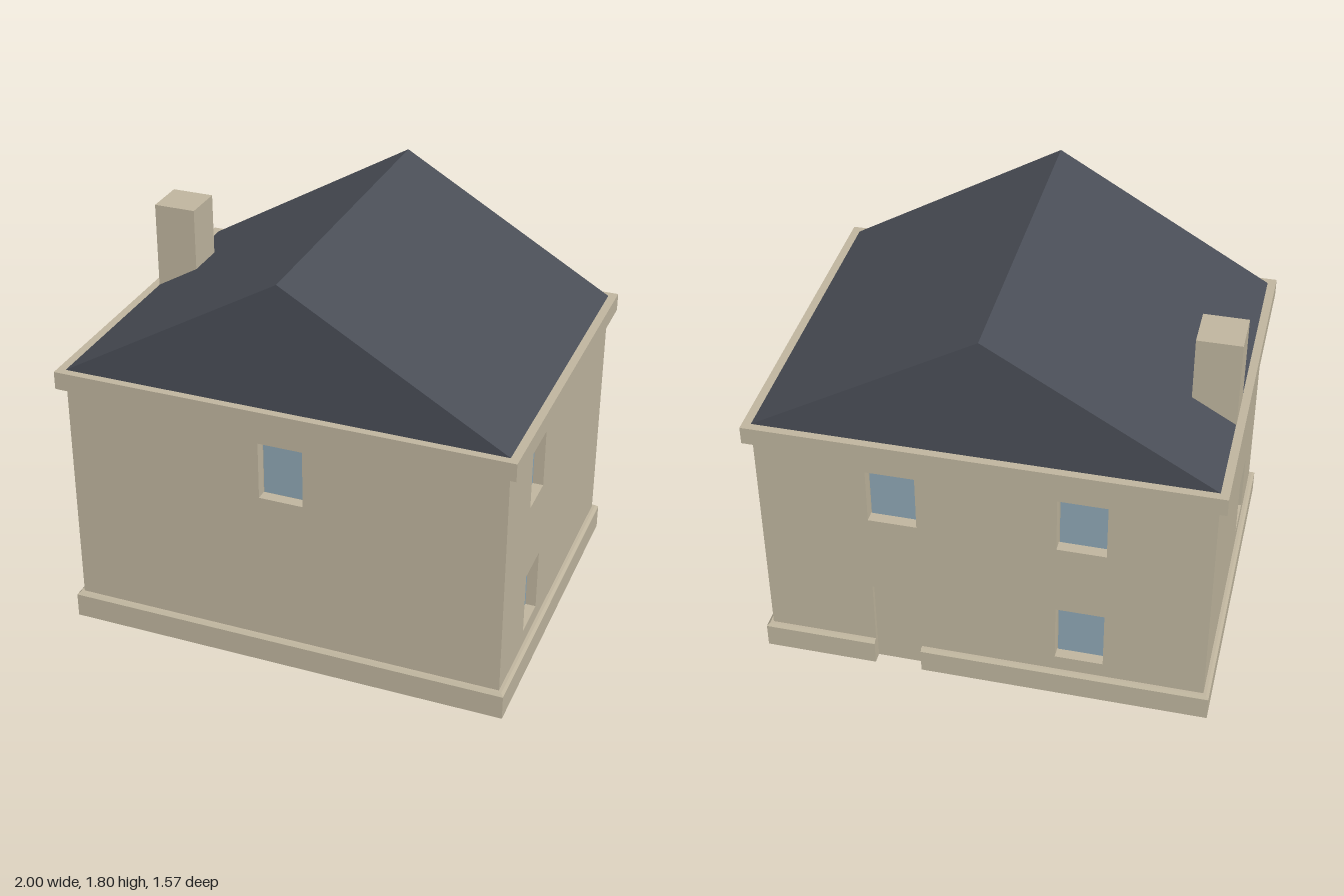
import * as THREE from 'three';

const stone = new THREE.MeshStandardMaterial({ color: 0xc0b69f, flatShading: true });
const slate = new THREE.MeshStandardMaterial({ color: 0x4a4e57, flatShading: true });
const glass = new THREE.MeshStandardMaterial({ color: 0x8fa7b5, flatShading: true });

const HX = 0.965, HZ = 0.75, WALL = 0.05, WALL_TOP = 1.2;
const DOOR = { x0: 0.28, x1: 0.49, top: 0.435, z: -0.725 };
const UPPER = [0.815, 1.075], LOWER = [0.195, 0.475];

const shapeOf = (pts) => new THREE.Shape(pts.map(([x, y]) => new THREE.Vector2(x, y)));
const extrude = (shape, depth) => new THREE.ExtrudeGeometry(shape, { depth, bevelEnabled: false });

function add(parent, name, geometry, material, x = 0, y = 0, z = 0) {
  const mesh = new THREE.Mesh(geometry, material);
  mesh.name = name;
  mesh.position.set(x, y, z);
  parent.add(mesh);
  return mesh;
}

// Wall with recessed windows; outer face lies on local z = 0, looking toward +z
function makeWall(name, half, windows, door) {
  const wall = new THREE.Group();
  wall.name = name;
  const notch = door ? [[door[0], 0], [door[0], door[2]], [door[1], door[2]], [door[1], 0]] : [];
  const shape = shapeOf([[-half, 0], ...notch, [half, 0], [half, WALL_TOP], [-half, WALL_TOP]]);
  for (const [x, [y0, y1], w] of windows) {
    const x0 = x - w / 2, x1 = x + w / 2;
    shape.holes.push(shapeOf([[x0, y0], [x0, y1], [x1, y1], [x1, y0]]));
    const cy = (y0 + y1) / 2, h = y1 - y0;
    add(wall, 'windowFrame', new THREE.BoxGeometry(w + 0.02, h + 0.02, 0.01), stone, x, cy, -WALL - 0.005);
    add(wall, 'windowGlass', new THREE.BoxGeometry(w - 0.01, h - 0.01, 0.01), glass, x, cy, -WALL + 0.001);
  }
  add(wall, 'wallPanel', extrude(shape, WALL), stone, 0, 0, -WALL);
  return wall;
}

export function createModel() {
  const house = new THREE.Group();
  house.name = 'house';

  // Plinth: plan outline with a gap for the door, top edge chamfered
  const plan = shapeOf([
    [-0.99, -0.775], [DOOR.x0, -0.775], [DOOR.x0, DOOR.z], [DOOR.x1, DOOR.z], [DOOR.x1, -0.775],
    [0.99, -0.775], [0.99, 0.775], [-0.99, 0.775],
  ].map(([x, z]) => [x, -z]).reverse());
  const lower = extrude(plan, 0.11).rotateX(-Math.PI / 2);
  add(house, 'plinth', lower, stone);
  const chamfer = extrude(plan, 0.012).rotateX(-Math.PI / 2);
  const p = chamfer.attributes.position;
  for (let i = 0; i < p.count; i++) {
    if (p.getY(i) < 0.006) continue;
    const x = p.getX(i), z = p.getZ(i);
    if (Math.abs(x) > 0.9) p.setX(i, x - Math.sign(x) * 0.012);
    if (Math.abs(z) > 0.77) p.setZ(i, z - Math.sign(z) * 0.012);
  }
  chamfer.computeVertexNormals();
  add(house, 'plinthChamfer', chamfer, stone, 0, 0.11, 0);

  // Front and back walls
  const front = makeWall('frontWall', HX, [[0, UPPER, 0.195]]);
  front.position.z = HZ;
  const back = makeWall('backWall', HX,
    [[-0.385, UPPER, 0.21], [0.42, UPPER, 0.21], [0.42, LOWER, 0.21]],
    [-DOOR.x1, -DOOR.x0, DOOR.top]);
  back.position.z = -HZ;
  back.rotation.y = Math.PI;
  house.add(front, back);

  // Side walls, each with one window per floor
  for (const s of [1, -1]) {
    const side = makeWall(s > 0 ? 'leftWall' : 'rightWall', HZ - WALL,
      [[-0.323 * s, UPPER, 0.19], [-0.323 * s, LOWER, 0.19]]);
    side.position.x = s * HX;
    side.rotation.y = s * Math.PI / 2;
    house.add(side);
  }

  // Door leaf set into the back wall
  add(house, 'door', new THREE.BoxGeometry(DOOR.x1 - DOOR.x0, DOOR.top, 0.02), stone,
    (DOOR.x0 + DOOR.x1) / 2, DOOR.top / 2, DOOR.z + 0.009);

  // Cornice, gabled roof and chimney
  add(house, 'cornice', new THREE.BoxGeometry(2, 0.08, 1.57), stone, 0, 1.203, 0);
  add(house, 'roof', extrude(shapeOf([[-HX, 1.242], [HX, 1.242], [0, 1.805]]), HZ * 2), slate, 0, 0, -HZ);
  add(house, 'chimney', new THREE.BoxGeometry(0.19, 0.4, 0.19), stone, -0.87, 1.435, -0.215);

  return house;
}
